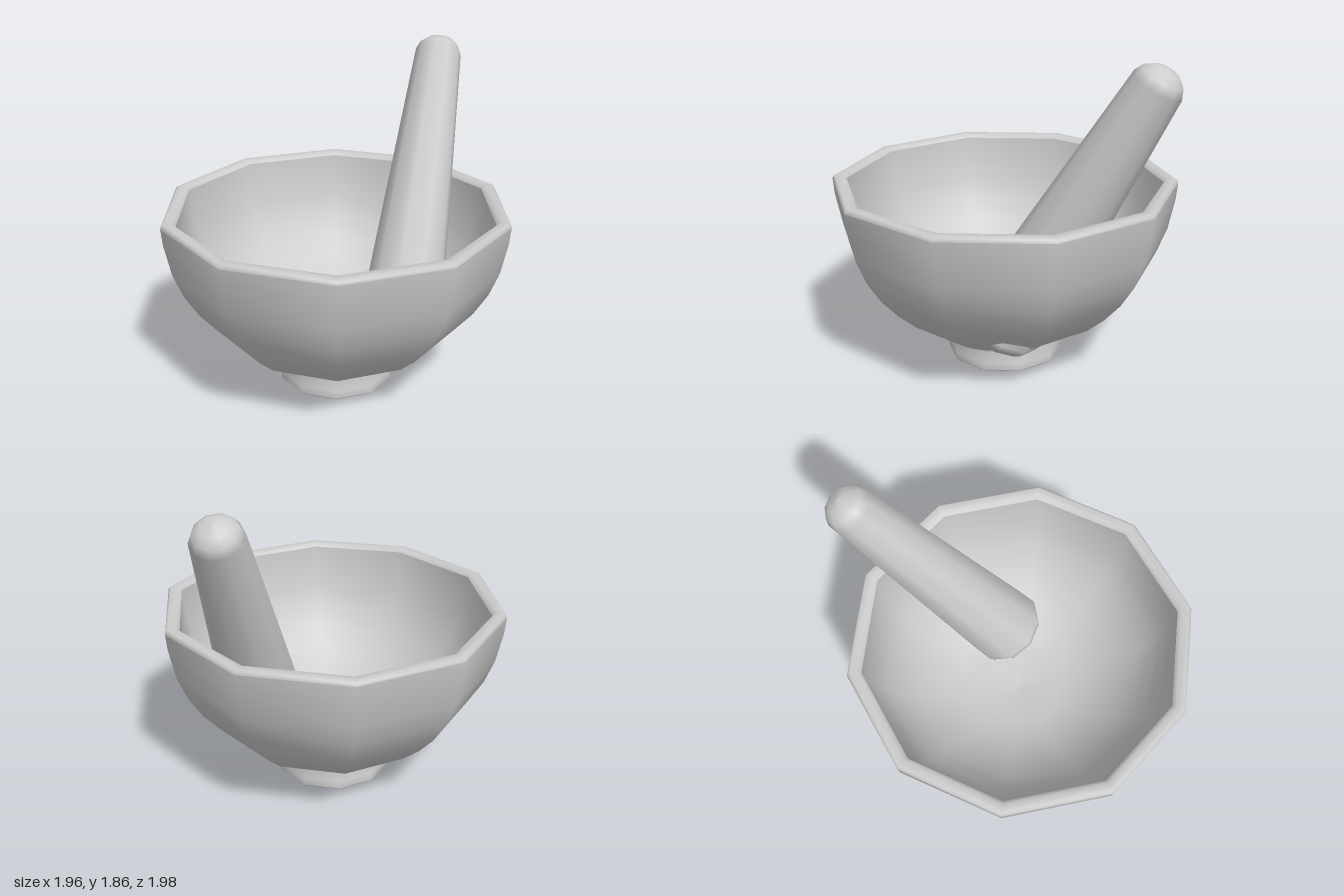
import * as THREE from 'three';

const SIDES = 10;
const material = new THREE.MeshStandardMaterial({ color: 0xcccccc });

// Turns each [radius, height] run into a ten-sided surface; separate runs meet in a sharp edge.
function turned(name, runs, phiStart) {
  const group = new THREE.Group();
  group.name = name;
  for (const [part, points] of Object.entries(runs)) {
    const profile = points.map(([r, y]) => new THREE.Vector2(r, y));
    const mesh = new THREE.Mesh(new THREE.LatheGeometry(profile, SIDES, phiStart), material);
    mesh.name = part;
    group.add(mesh);
  }
  return group;
}

export function createModel() {
  const model = new THREE.Group();
  model.name = 'mortarAndPestle';

  // Mortar: foot, outer wall, rim and hollow inside, with a corner pointing along x
  const mortar = turned('mortar', {
    footBase: [[0, 0], [0.325, 0]],
    foot: [[0.325, 0], [0.337, 0.012], [0.328, 0.05], [0.315, 0.115], [0.322, 0.13]],
    outerWall: [
      [0.322, 0.13], [0.36, 0.15], [0.45, 0.2], [0.59, 0.285], [0.7, 0.385], [0.8, 0.5],
      [0.88, 0.63], [0.935, 0.77], [0.972, 0.95], [0.981, 1.045],
    ],
    rim: [[0.981, 1.045], [0.978, 1.06], [0.965, 1.07], [0.92, 1.07], [0.9, 1.05]],
    innerWall: [
      [0.9, 1.05], [0.89, 0.95], [0.855, 0.79], [0.805, 0.67], [0.735, 0.555],
      [0.645, 0.455], [0.54, 0.365], [0.41, 0.285], [0.25, 0.235], [0, 0.215],
    ],
  }, Math.PI / SIDES);
  mortar.position.z = 0.06;
  model.add(mortar);

  // Pestle: tapered shaft with rounded ends, leaning towards the back
  const pestle = turned('pestle', {
    pestleBody: [
      [0, -0.13], [0.11, -0.125], [0.19, -0.085], [0.225, -0.045], [0.24, 0],
      [0.137, 1.597], [0.115, 1.645], [0.07, 1.68], [0, 1.694],
    ],
  }, 0);
  pestle.position.set(0.36, 0.36, -0.08);
  pestle.rotation.x = THREE.MathUtils.degToRad(-29.5);
  model.add(pestle);

  return model;
}
